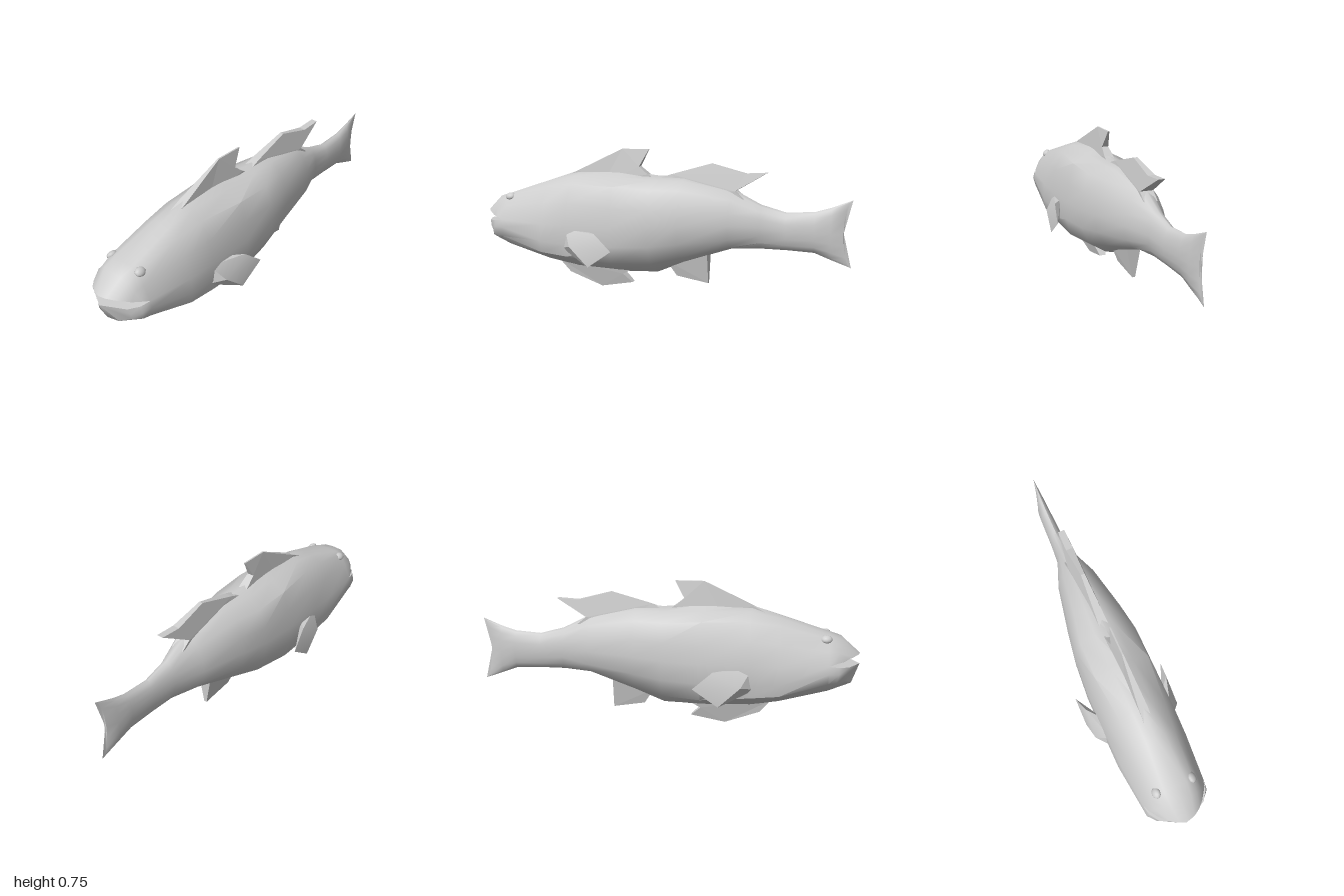
import * as THREE from 'three';
import { mergeGeometries, mergeVertices, toCreasedNormals } from 'three/addons/utils/BufferGeometryUtils.js';
import { ConvexGeometry } from 'three/addons/geometries/ConvexGeometry.js';

// Lofts mirrored half-rings (top to bottom on +x), ordered from head to tail
function loft(halves, { front, back } = {}) {
  const rings = halves.map(h => [
    ...h,
    ...h.filter(p => p[0] > 0).reverse().map(([x, y, z]) => [-x, y, z]),
  ]);
  const n = rings[0].length;
  const points = rings.flat();
  const index = [];
  for (let s = 0; s < rings.length - 1; s++) {
    for (let i = 0; i < n; i++) {
      const j = (i + 1) % n;
      const a = s * n + i, b = s * n + j;
      index.push(a, b, a + n, b, b + n, a + n);
    }
  }
  // Fan caps around a centre point
  const cap = (centre, base, flip) => {
    const c = points.push(centre) - 1;
    for (let i = 0; i < n; i++) {
      const a = base + i, b = base + (i + 1) % n;
      if (flip) index.push(c, b, a);
      else index.push(c, a, b);
    }
  };
  if (front) cap(front, 0, true);
  if (back) cap(back, (rings.length - 1) * n, false);
  const g = new THREE.BufferGeometry();
  g.setAttribute('position', new THREE.Float32BufferAttribute(points.flat(), 3));
  g.setIndex(index);
  return g;
}

// Upright fin from a [z, y] outline; half thickness runs from wLow at yLow to wHigh at yHigh
function finGeometry(outline, yLow, wLow, yHigh, wHigh) {
  const shape = new THREE.Shape(outline.map(([z, y]) => new THREE.Vector2(-z, y)));
  const g = new THREE.ExtrudeGeometry(shape, { depth: 1, bevelEnabled: false });
  g.rotateY(Math.PI / 2);
  const p = g.attributes.position;
  for (let i = 0; i < p.count; i++) {
    const t = THREE.MathUtils.clamp((p.getY(i) - yLow) / (yHigh - yLow), 0, 1);
    const w = THREE.MathUtils.lerp(wLow, wHigh, t);
    p.setX(i, p.getX(i) > 0.5 ? w : -w);
  }
  g.computeVertexNormals();
  return g;
}

export function createModel() {
  const group = new THREE.Group();
  const grey = new THREE.MeshStandardMaterial({ color: 0xcccccc });
  grey.name = 'fishGrey';
  const add = (name, geometry) => {
    const mesh = new THREE.Mesh(geometry, grey);
    mesh.name = name;
    group.add(mesh);
    return mesh;
  };

  // Trunk sections
  const at = (z, pts) => pts.map(([x, y]) => [x, y, z]);
  const neck = at(0.84, [[0, .5], [.06, .498], [.095, .485], [.13, .43], [.165, .36], [.17, .32], [.16, .27], [.08, .215], [0, .205]]);
  const trunk = [
    neck,
    at(0.6, [[0, .58], [.05, .575], [.105, .545], [.15, .46], [.185, .35], [.19, .26], [.18, .2], [.08, .15], [0, .135]]),
    at(0.45, [[0, .63], [.055, .605], [.12, .565], [.165, .47], [.19, .35], [.19, .25], [.18, .185], [.06, .12], [0, .1]]),
    at(0.2, [[0, .635], [.06, .6], [.145, .56], [.17, .45], [.19, .35], [.19, .25], [.165, .16], [.04, .105], [0, .09]]),
    at(0, [[0, .615], [.06, .595], [.14, .55], [.17, .45], [.18, .36], [.175, .26], [.13, .165], [.04, .11], [0, .1]]),
    at(-0.15, [[0, .615], [.05, .595], [.11, .55], [.145, .46], [.155, .37], [.15, .28], [.1, .2], [.04, .17], [0, .165]]),
    at(-0.4, [[0, .56], [.03, .55], [.07, .51], [.1, .44], [.105, .38], [.1, .31], [.06, .265], [.03, .255], [0, .25]]),
  ];

  // Tail stalk and fan: elliptical sections [z, top, bottom, half width, extra z at mid height]
  const tail = [
    [-0.55, .485, .26, .05, 0],
    [-0.68, .45, .26, .038, 0],
    [-0.82, .46, .255, .032, 0],
    [-0.9, .485, .225, .026, 0],
    [-1, .525, .19, .007, .04],
  ].map(([z, top, bottom, w, notch]) => Array.from({ length: 9 }, (_, i) => {
    const a = Math.PI * i / 8;
    const x = i % 8 ? w * Math.sin(a) : 0;
    return [x, (top + bottom) / 2 + (top - bottom) / 2 * Math.cos(a), z + notch * Math.sin(a)];
  }));

  // Upper head and lower jaw meet at the mouth corners
  const upperHead = [
    [[0, .4, 1], [.04, .4, .99], [.08, .395, .965], [.11, .387, .935], [.125, .378, .915]],
    [[0, .48, .91], [.055, .478, .905], [.09, .455, .9], [.125, .42, .89], [.15, .373, .88]],
    neck.slice(0, 5),
  ];
  const lowerJaw = [
    [[.12, .35, .94], [.13, .32, .93], [.12, .28, .92], [.07, .26, .955], [0, .25, .965]],
    [[.155, .354, .89], [.165, .32, .89], [.155, .275, .88], [.08, .24, .9], [0, .228, .9]],
    neck.slice(4),
  ];
  const skin = mergeVertices(mergeGeometries([
    loft([...trunk, ...tail], { back: [0, .36, -.96] }),
    loft(upperHead, { front: [0, .385, .97] }),
    loft(lowerJaw, { front: [0, .345, 1] }),
  ]), 1e-4);
  add('body', toCreasedNormals(skin, 0.9));

  // Fins on the centre line
  add('frontDorsalFin', finGeometry(
    [[.55, .58], [.45, .63], [.2, .75], [.05, .75], [.1, .66], [.05, .62], [0, .59], [.3, .57]],
    .62, .024, .75, .004));
  add('rearDorsalFin', finGeometry(
    [[.02, .59], [-.08, .625], [-.29, .685], [-.47, .638], [-.58, .645], [-.42, .55], [-.47, .51], [-.2, .53]],
    .55, .035, .685, .01));
  add('bellyFin', finGeometry(
    [[.56, .14], [.5, .07], [.32, 0], [.14, .035], [.19, .08], [.1, .13]],
    0, .008, .12, .04));
  add('analFin', finGeometry(
    [[-.06, .17], [-.11, .09], [-.28, .06], [-.28, .23]],
    .06, .008, .19, .04));

  // Side fins and eyes
  for (const [side, s] of [['left', 1], ['right', -1]]) {
    const corners = [
      [.17, .33, .46], [.17, .23, .48], [.23, .325, .27], [.235, .25, .41],
      [.25, .24, .17], [.245, .15, .3], [.17, .325, .34], [.17, .2, .37],
    ].map(([x, y, z]) => new THREE.Vector3(s * x, y, z));
    add(side + 'SideFin', toCreasedNormals(new ConvexGeometry(corners), 0.6));

    const eye = add(side + 'Eye', new THREE.SphereGeometry(0.024, 10, 8));
    eye.position.set(s * 0.095, 0.483, 0.825);
    eye.rotation.z = s * -0.7;
    eye.scale.set(1, 0.7, 1.2);
  }
  return group;
}
